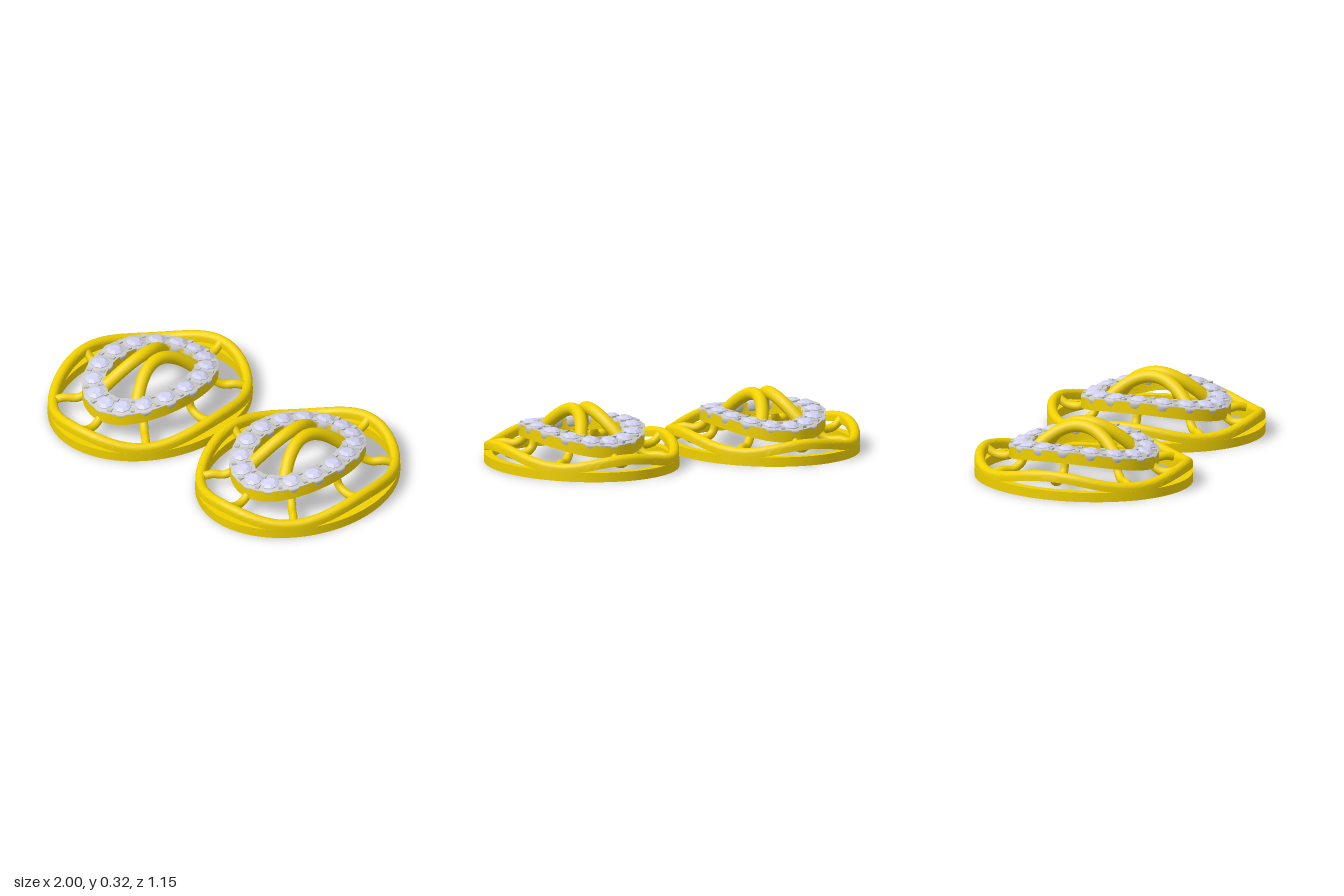
import * as THREE from 'three';
import { toCreasedNormals } from 'three/addons/utils/BufferGeometryUtils.js';

const gold = new THREE.MeshStandardMaterial({ color: 0xf0d000 });
const silver = new THREE.MeshStandardMaterial({ color: 0xcccccc });
const stone = new THREE.MeshStandardMaterial({ color: 0xd2d2f0, flatShading: true });

// Point on an ellipse, moved outwards along its normal by off
function onEllipse(a, b, t, off = 0) {
  const c = Math.cos(t), s = Math.sin(t);
  const n = Math.hypot(b * c, a * s);
  return [a * c + off * b * c / n, b * s + off * a * s / n];
}

// Sweeps a closed section of [offset, y], counter-clockwise, around an ellipse
function sweepRing(a, b, section, heightAt, steps = 128) {
  const pos = [], idx = [], m = section.length;
  for (let i = 0; i < steps; i++) {
    const t = (i / steps) * Math.PI * 2;
    for (const [off, y] of section) {
      const [x, z] = onEllipse(a, b, t, off);
      pos.push(x, y + heightAt(t, z), z);
    }
    for (let j = 0; j < m; j++) {
      const k = (j + 1) % m, n = (i + 1) % steps;
      const p = i * m + j, q = i * m + k, r = n * m + j, s = n * m + k;
      idx.push(p, q, r, q, s, r);
    }
  }
  const g = new THREE.BufferGeometry();
  g.setAttribute('position', new THREE.Float32BufferAttribute(pos, 3));
  g.setIndex(idx);
  return toCreasedNormals(g, 0.6);
}

const box = (w, y0, y1) => [[-w, y0], [w, y0], [w, y1], [-w, y1]];

// Heights of the wavy rim and of the saddle-shaped stone ring
const waveY = t => 0.089 + 0.026 * Math.cos(4 * t) + 0.006 * Math.cos(2 * t);
const haloY = z => 0.212 - 0.37 * z * z;
const HA = 0.247, HB = 0.338, HALF = 0.058, DEPTH = 0.063;

function add(parent, name, geometry, material) {
  const mesh = new THREE.Mesh(geometry, material);
  mesh.name = name;
  parent.add(mesh);
  return mesh;
}

// Group seated on the stone ring and tilted with its surface
function seatOnHalo(parent, name, t) {
  const g = new THREE.Group();
  const [x, z] = onEllipse(HA, HB, t);
  g.name = name;
  g.position.set(x, haloY(z), z);
  const up = new THREE.Vector3(0, 1, 0);
  g.quaternion.setFromUnitVectors(up, new THREE.Vector3(0, 1, 0.74 * z).normalize());
  parent.add(g);
  return g;
}

function createEarring() {
  const e = new THREE.Group();

  // Flat base band
  add(e, 'baseRing', sweepRing(0.463, 0.551, box(0.022, 0, 0.049), () => 0), gold);

  // Wavy rim with a flat bottom and a domed top
  const dome = [[-0.026, -0.025], [0.026, -0.025]];
  for (let i = 0; i <= 10; i++) {
    const a = (i / 10) * Math.PI;
    dome.push([0.026 * Math.cos(a), 0.001 + 0.025 * Math.sin(a)]);
  }
  add(e, 'wavyRim', sweepRing(0.459, 0.546, dome, waveY), gold);

  // Stone ring: gold body with a pale top face
  add(e, 'stoneRing', sweepRing(HA, HB, box(HALF, -DEPTH, -0.004), (t, z) => haloY(z)), gold);
  add(e, 'stoneRingTop', sweepRing(HA, HB, box(HALF, -0.004, 0), (t, z) => haloY(z)), silver);

  // Sixteen stones in cups, with prongs in the gaps and pegs underneath
  const cupShape = [[0, -0.052], [0.035, -0.05], [0.054, -0.043], [0.061, -0.03], [0.064, -0.015], [0.064, 0], [0, 0.001]]
    .map(p => new THREE.Vector2(...p));
  const cup = new THREE.LatheGeometry(cupShape, 24);
  const girdle = new THREE.CylinderGeometry(0.046, 0.046, 0.005, 8);
  const crown = new THREE.CylinderGeometry(0.027, 0.046, 0.011, 8);
  const peg = new THREE.CylinderGeometry(0.017, 0.017, 0.01, 16);
  const prong = new THREE.BoxGeometry(0.026, 0.014, 0.022);
  for (let i = 0; i < 16; i++) {
    const t = (i / 16) * Math.PI * 2;
    const s = seatOnHalo(e, 'stoneSeat', t);
    add(s, 'cup', cup, silver);
    add(s, 'stoneGirdle', girdle, stone).position.y = 0.002;
    add(s, 'stoneCrown', crown, stone).position.y = 0.01;
    add(s, 'peg', peg, gold).position.y = -DEPTH;

    const u = t + Math.PI / 16;
    const [cx, cz] = onEllipse(HA, HB, u);
    for (const off of [-0.036, 0.036]) {
      const [x, z] = onEllipse(HA, HB, u, off);
      const p = add(e, 'prong', prong, silver);
      p.position.set(x, haloY(z) + 0.002, z);
      p.rotation.y = -Math.atan2(z - cz, x - cx);
    }
  }

  // Eight hooked struts from the stone ring down and out to the rim
  for (let i = 0; i < 8; i++) {
    const t = (i / 8) * Math.PI * 2;
    const at = (a, b, y) => {
      const [x, z] = onEllipse(a, b, t);
      return new THREE.Vector3(x, y, z);
    };
    const top = at(0.265, 0.358, 0);
    const path = new THREE.CatmullRomCurve3([
      top.setY(haloY(top.z) - 0.045),
      at(0.285, 0.378, 0.1),
      at(0.335, 0.425, 0.072),
      at(0.4, 0.485, 0.075),
      at(0.455, 0.542, waveY(t) - 0.002),
    ]);
    add(e, 'strut', new THREE.TubeGeometry(path, 24, 0.022, 14), gold);
  }

  // Two arches leaning together across the opening
  for (const side of [-1, 1]) {
    const pts = [];
    for (let i = -6; i <= 6; i++) {
      const t = i / 6;
      pts.push(new THREE.Vector3(side * (0.042 + 0.083 * t * t), 0.283 - 0.145 * t * t, 0.24 * t));
    }
    const path = new THREE.CatmullRomCurve3(pts);
    add(e, 'arch', new THREE.TubeGeometry(path, 48, 0.033, 18), gold);
  }
  return e;
}

export function createModel() {
  const model = new THREE.Group();
  model.name = 'earringPair';
  for (const side of [-1, 1]) {
    const e = createEarring();
    e.name = side > 0 ? 'leftEarring' : 'rightEarring';
    e.position.x = side * 0.515;
    model.add(e);
  }
  return model;
}
